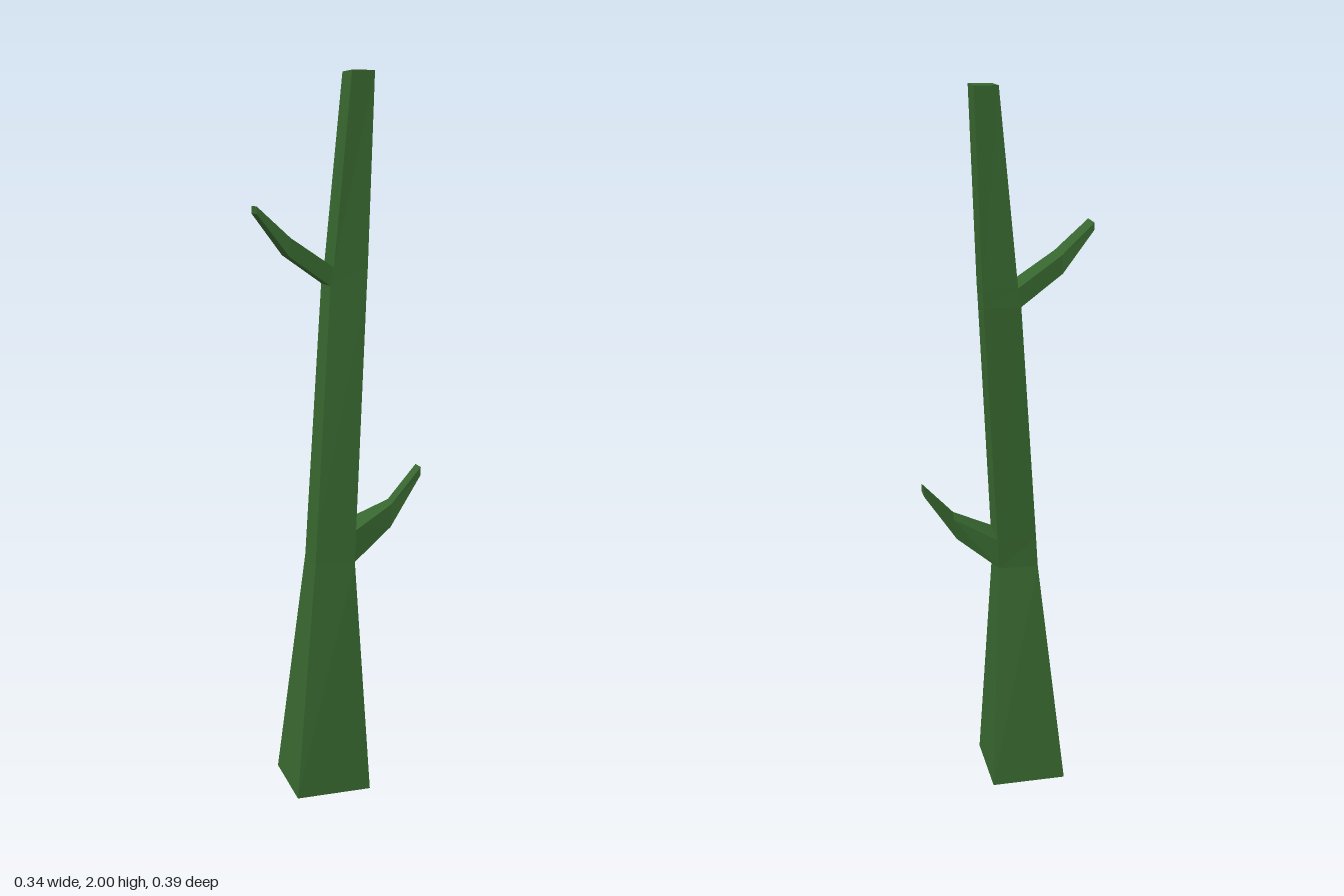
import * as THREE from 'three';

// Faceted tube through four-cornered rings, capped at both ends.
// Each ring runs counter-clockwise when seen from the far end.
function loft(name, rings, material) {
  const pos = [];
  const quad = (a, b, c, d) => pos.push(...a, ...b, ...c, ...a, ...c, ...d);
  for (let i = 0; i < rings.length - 1; i++) {
    const lo = rings[i], hi = rings[i + 1];
    for (let k = 0; k < 4; k++) {
      const n = (k + 1) % 4;
      quad(lo[k], lo[n], hi[n], hi[k]);
    }
  }
  quad(...[...rings[0]].reverse());
  quad(...rings[rings.length - 1]);
  const geometry = new THREE.BufferGeometry();
  geometry.setAttribute('position', new THREE.Float32BufferAttribute(pos, 3));
  geometry.computeVertexNormals();
  const mesh = new THREE.Mesh(geometry, material);
  mesh.name = name;
  return mesh;
}

// Horizontal trunk ring: back, left, front and right corners as [x, z]
const level = (y, ...corners) => corners.map(([x, z]) => [x, y, z]);

// Branch ring: lower edge and upper edge, each from its first to second corner
const section = (yLow, [a, b], yHigh, [c, d] = [a, b]) => [
  [a[0], yLow, a[1]], [b[0], yLow, b[1]],
  [d[0], yHigh, d[1]], [c[0], yHigh, c[1]],
];

export function createModel() {
  const group = new THREE.Group();
  group.name = 'bareTree';
  const green = new THREE.MeshStandardMaterial({ color: 0x37662f });
  green.name = 'dark green';

  // Tapering, slightly bent trunk
  group.add(loft('trunk', [
    level(0, [-0.045, -0.113], [-0.172, 0.06], [0.007, 0.192], [0.134, 0.019]),
    level(0.67, [-0.007, -0.045], [-0.08, 0.04], [0.01, 0.11], [0.083, 0.025]),
    level(0.76, [-0.009, -0.052], [-0.077, 0.035], [0.01, 0.102], [0.082, 0.018]),
    level(1.435, [-0.008, -0.104], [-0.068, -0.022], [0.01, 0.04], [0.079, -0.033]),
    level(1.485, [-0.006, -0.105], [-0.062, -0.028], [0.016, 0.032], [0.079, -0.037]),
    level(2, [0.015, -0.111], [-0.022, -0.058], [0.045, -0.01], [0.083, -0.06]),
  ], green));

  // Lower branch, growing out of the back right face
  group.add(loft('lowerBranch', [
    section(0.67, [[0.083, 0.025], [-0.007, -0.045]], 0.76, [[0.082, 0.018], [-0.009, -0.052]]),
    section(0.755, [[0.13, -0.082], [0.09, -0.115]], 0.82, [[0.128, -0.09], [0.087, -0.13]]),
    section(0.895, [[0.172, -0.17], [0.138, -0.195]], 0.918),
  ], green));

  // Upper branch, growing out of the front left face
  group.add(loft('upperBranch', [
    section(1.435, [[-0.068, -0.022], [0.01, 0.04]], 1.485, [[-0.062, -0.028], [0.016, 0.032]]),
    section(1.515, [[-0.122, 0.083], [-0.058, 0.13]], 1.565, [[-0.12, 0.083], [-0.058, 0.125]]),
    section(1.628, [[-0.172, 0.15], [-0.118, 0.192]], 1.648),
  ], green));

  return group;
}
